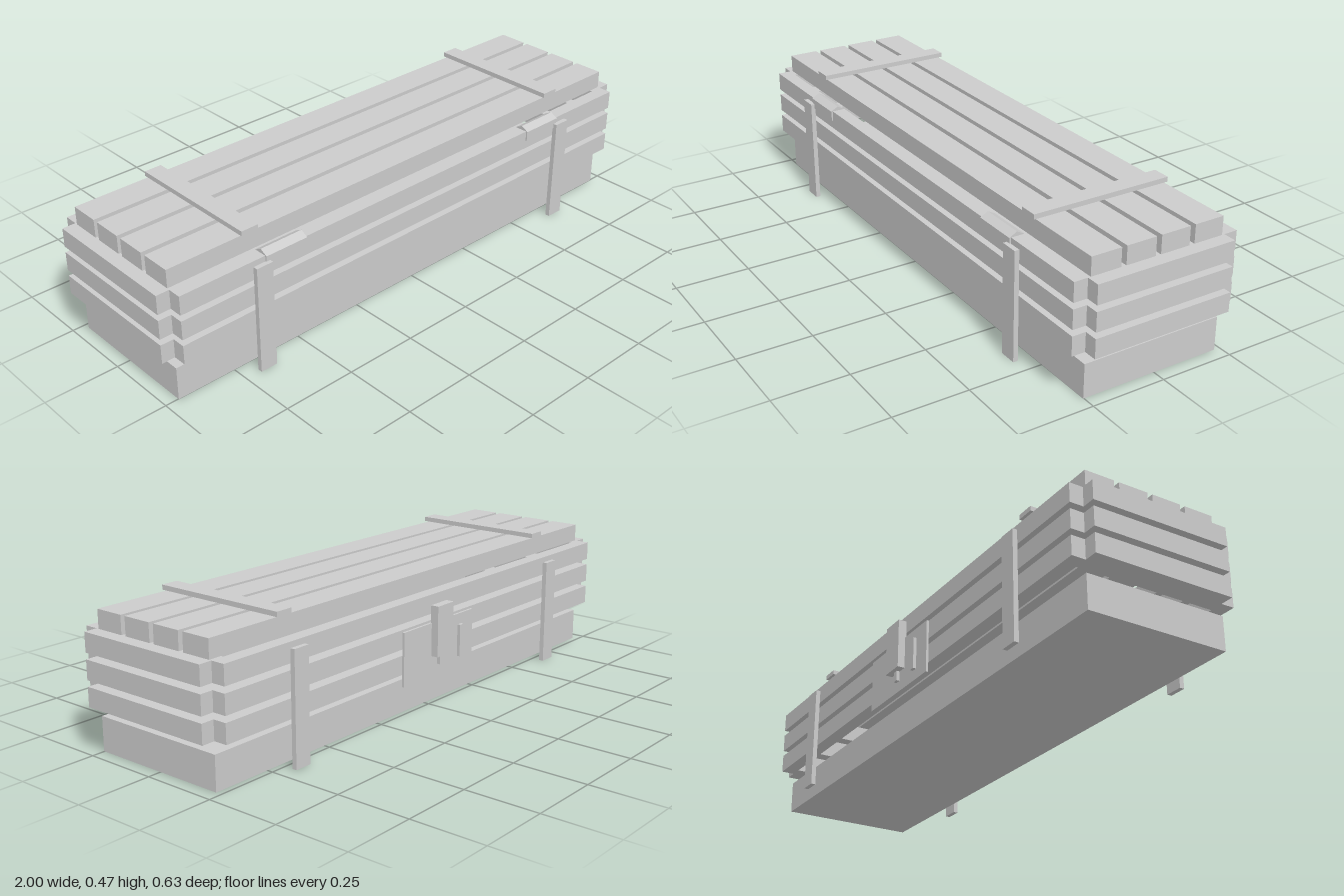
import * as THREE from 'three';

export function createModel() {
  const crate = new THREE.Group();
  crate.name = 'woodenCrate';
  const mat = new THREE.MeshStandardMaterial({ color: 0xcccccc, flatShading: true });

  // Box given by its limits on each axis
  function box(name, [x0, x1], [y0, y1], [z0, z1]) {
    const mesh = new THREE.Mesh(new THREE.BoxGeometry(x1 - x0, y1 - y0, z1 - z0), mat);
    mesh.position.set((x0 + x1) / 2, (y0 + y1) / 2, (z0 + z1) / 2);
    mesh.name = name;
    crate.add(mesh);
    return mesh;
  }

  const length = [-0.955, 0.955];
  const depth = [-0.23, 0.252];

  // Solid lower box
  box('base', length, [0, 0.113], depth);

  // Three rings of side slats
  for (let i = 0; i < 3; i++) {
    const y = [0.153 + i * 0.0845, 0.217 + i * 0.0845];
    box('frontSlat', length, y, [0.252, 0.298]);
    box('backSlat', length, y, [-0.277, -0.23]);
    box('leftEndSlat', [0.91, 1], y, depth);
    box('rightEndSlat', [-1, -0.91], y, depth);
  }

  // Lid planks
  for (let i = 0; i < 4; i++) {
    const z = -0.221 + i * 0.1205;
    box('lidPlank', length, [0.386, 0.447], [z, z + 0.1025]);
  }

  // Lid battens, upright straps and hinges on both halves
  const roof = new THREE.Shape([
    new THREE.Vector2(-0.304, 0.386),
    new THREE.Vector2(-0.252, 0.386),
    new THREE.Vector2(-0.278, 0.4),
  ]);
  for (const side of [-1, 1]) {
    const span = (a, b) => (side > 0 ? [a, b] : [-b, -a]);
    const strapX = span(0.636, 0.696);
    box('lidBatten', strapX, [0.45, 0.466], depth);
    box('frontStrap', strapX, [0, 0.368], [0.3, 0.316]);
    box('backStrap', strapX, [0, 0.368], [-0.295, -0.279]);

    const hingeX = span(0.495, 0.65);
    const cap = new THREE.Mesh(
      new THREE.ExtrudeGeometry(roof, { depth: hingeX[1] - hingeX[0], bevelEnabled: false }), mat);
    cap.rotation.y = Math.PI / 2;
    cap.position.x = hingeX[0];
    cap.name = 'hingeCap';
    crate.add(cap);
    box('hingeLeaf', hingeX, [0.351, 0.386], [0.297, 0.303]);
  }

  // Latch on the back
  box('latchPlate', [-0.185, 0.185], [0.115, 0.296], [-0.29, -0.282]);
  box('latchHasp', [-0.042, 0.042], [0.185, 0.355], [-0.315, -0.286]);
  for (const x of [-0.11, 0]) {
    box('latchPin', [x - 0.01, x + 0.01], [0.151, 0.26], [-0.301, -0.288]);
  }

  return crate;
}
